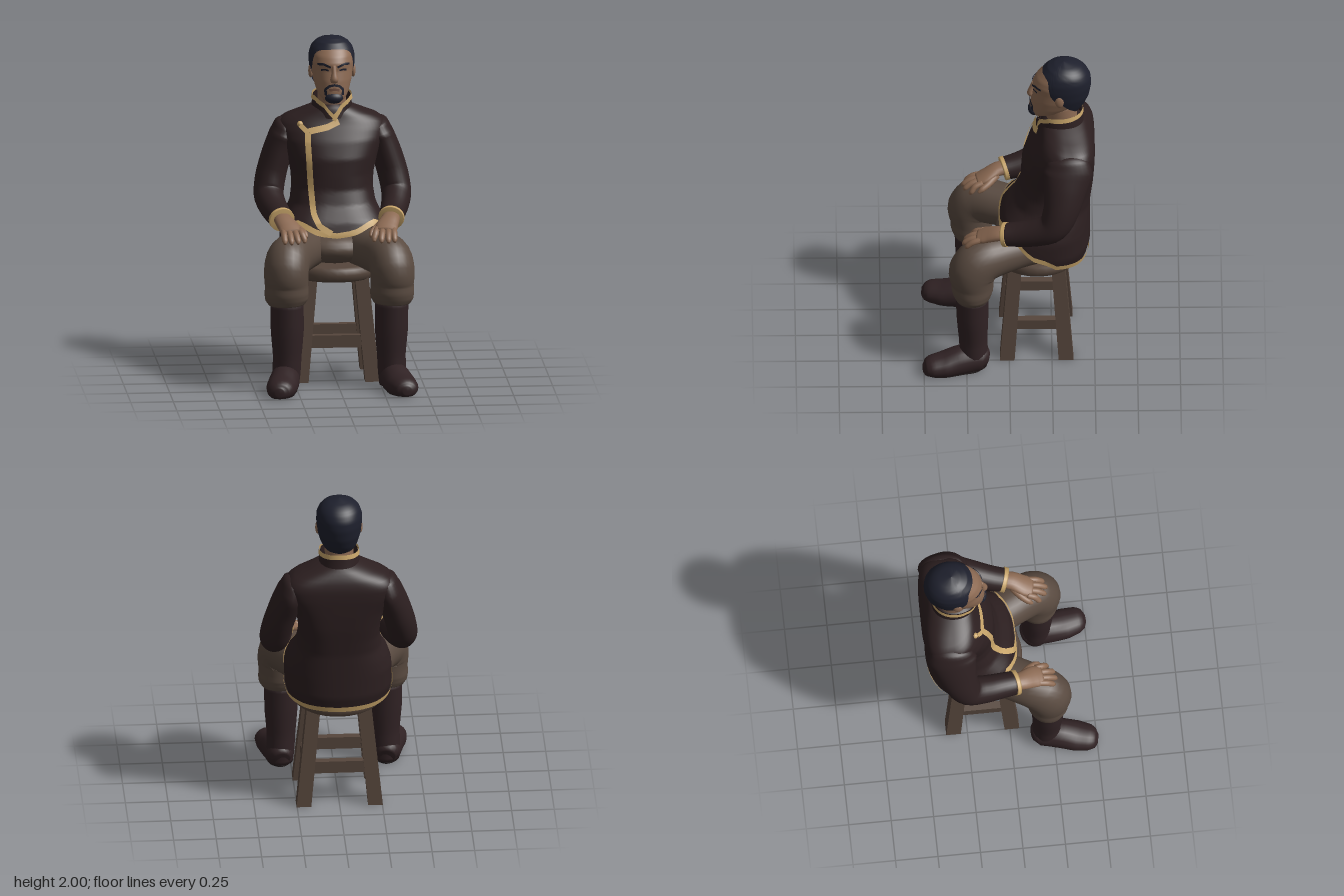
import * as THREE from 'three';

const mat = (name, color) => {
  const m = new THREE.MeshStandardMaterial({ color, side: THREE.DoubleSide });
  m.name = name;
  return m;
};

// Smooth grid surface; columns wrap round when closed
function grid(rows, cols, closed, fn) {
  const pos = [], idx = [], n = closed ? cols : cols - 1;
  for (let i = 0; i < rows; i++) for (let j = 0; j < cols; j++) pos.push(...fn(i, j));
  for (let i = 0; i < rows - 1; i++) for (let j = 0; j < n; j++) {
    const a = i * cols + j, b = i * cols + (j + 1) % cols;
    idx.push(a, b, a + cols, b, b + cols, a + cols);
  }
  const g = new THREE.BufferGeometry();
  g.setAttribute('position', new THREE.Float32BufferAttribute(pos, 3));
  g.setIndex(idx);
  g.computeVertexNormals();
  return g;
}

// Linear lookup in a table sorted by its first column
function lookup(table, t) {
  let i = 0;
  while (i < table.length - 2 && t > table[i + 1][0]) i++;
  const a = table[i], b = table[i + 1];
  const k = THREE.MathUtils.clamp((t - a[0]) / (b[0] - a[0]), 0, 1);
  return a.slice(1).map((v, c) => v + (b[c + 1] - v) * k);
}

// Upright body surface. Profile rows are [y, halfWidth, frontZ, backZ, frontSquareness, backSquareness];
// bottom and top edges are tables of [degrees from the front, y].
function shell(profile, bottom, top, { rows = 30, cols = 60, off = 0 } = {}) {
  return grid(rows, cols, true, (i, j) => {
    const a = (j / cols) * Math.PI * 2, deg = 180 - Math.abs(180 - (j / cols) * 360);
    const y0 = lookup(bottom, deg)[0], y1 = lookup(top, deg)[0];
    const y = y0 + (y1 - y0) * i / (rows - 1);
    const [rx, zf, zb, pf = 2.1, pb = 2.1] = lookup(profile, y);
    const s = Math.sin(a), c = Math.cos(a), e = 2 / (c > 0 ? pf : pb);
    const pw = v => Math.sign(v) * Math.abs(v) ** e;
    return [(rx + off) * pw(s), y, (zf + zb) / 2 + ((zf - zb) / 2 + off) * pw(c)];
  });
}
const level = y => [[0, y], [180, y]];

// Flat band lying on the front of a profile, along points [x, y]
function ribbon(profile, pts, width, off = 0.007) {
  const curve = new THREE.CatmullRomCurve3(pts.map(([x, y]) => new THREE.Vector3(x, y, 0)), false, 'catmullrom', 0.15);
  const n = pts.length * 8;
  return grid(n, 3, false, (i, j) => {
    const c = curve.getPoint(i / (n - 1)), t = curve.getTangent(i / (n - 1));
    const x = c.x + t.y * width * (j - 1) / 2, y = c.y - t.x * width * (j - 1) / 2;
    const [rx, zf, zb, p = 2.1] = lookup(profile, y);
    const k = Math.max(0, 1 - (Math.abs(x) / rx) ** p) ** (1 / p);
    return [x, y, (zf + zb) / 2 + (zf - zb) / 2 * k + off];
  });
}

// Rounded limb through rows of [x, y, z, sideRadius, otherRadius], closed at both ends
function limb(rows, side = 1, { cols = 20, minY = -1 } = {}) {
  const path = new THREE.CatmullRomCurve3(rows.map(r => new THREE.Vector3(r[0] * side, r[1], r[2])));
  const n = (rows.length - 1) * 4, X = new THREE.Vector3(1, 0, 0);
  return grid(n + 3, cols, true, (i, j) => {
    const k = THREE.MathUtils.clamp(i - 1, 0, n) / n;
    const c = path.getPoint(k), t = path.getTangent(k);
    const s = X.clone().addScaledVector(t, -X.dot(t)).normalize();
    const u = t.clone().cross(s);
    const r = lookup(rows.map((q, m) => [m / (rows.length - 1), q[3], q[4]]), k);
    const cap = i === 0 || i === n + 2 ? 0 : 1, a = (j / cols) * Math.PI * 2;
    c.addScaledVector(s, r[0] * cap * Math.cos(a)).addScaledVector(u, r[1] * cap * Math.sin(a));
    return [c.x, Math.max(c.y, minY), c.z];
  });
}

const TORSO = [[.66, .29, .05, -.455, 3.2, 2.2], [.75, .312, .055, -.475, 3.2, 2.3], [.88, .312, .052, -.475, 3.2, 2.4],
  [.95, .29, .03, -.475, 3, 2.5], [1.03, .25, -.035, -.475, 2.6, 2.6], [1.12, .237, -.066, -.485, 2.4, 2.9],
  [1.2, .242, -.07, -.494, 2.3, 3.3], [1.3, .265, -.077, -.5, 2.3, 3.7], [1.4, .305, -.113, -.503, 2.3, 4.2],
  [1.46, .318, -.146, -.5, 2.3, 4.2], [1.5, .305, -.168, -.49, 2.3, 3.8], [1.53, .265, -.18, -.478, 2.2, 3],
  [1.56, .19, -.187, -.46, 2.1, 2.5], [1.585, .135, -.195, -.44, 2, 2], [1.6, .11, -.205, -.425, 2, 2], [1.605, .08, -.22, -.4, 2, 2]];
const HEM = [[0, .87], [12, .89], [28, .925], [45, .94], [63, .88], [85, .77], [102, .705], [140, .677], [180, .67]];
const COLLAR = [[1.5, .13, -.17, -.455], [1.6, .118, -.183, -.435], [1.68, .105, -.18, -.425]];
const COLLAR_TOP = [[0, 1.55], [10, 1.575], [25, 1.615], [60, 1.65], [180, 1.67]];
const HEAD = [[1.632, .025, -.15, -.2], [1.64, .055, -.135, -.24], [1.665, .08, -.125, -.32], [1.7, .097, -.125, -.38],
  [1.76, .114, -.13, -.43], [1.82, .122, -.143, -.45], [1.86, .125, -.14, -.455], [1.9, .122, -.16, -.455],
  [1.94, .108, -.197, -.43], [1.97, .075, -.235, -.4], [1.98, .001, -.31, -.312]];
const HAIR = [[1.67, .09, -.22, -.41], [1.72, .11, -.16, -.445], [1.78, .126, -.15, -.47], [1.85, .134, -.145, -.482],
  [1.9, .133, -.163, -.478], [1.94, .12, -.196, -.458], [1.97, .095, -.226, -.428], [1.99, .058, -.268, -.385], [2, .001, -.32, -.322]];
const HAIRLINE = [[0, 1.94], [30, 1.937], [47, 1.925], [57, 1.9], [64, 1.84], [76, 1.79], [88, 1.775], [105, 1.73], [130, 1.69], [180, 1.675]];

export function createModel() {
  const model = new THREE.Group();
  model.name = 'seatedMan';
  const M = {
    jacket: mat('jacketCloth', 0x2c1f20), trim: mat('goldTrim', 0xc8a56a), skin: mat('skin', 0x8c6a53),
    hair: mat('hair', 0x1e202d), trousers: mat('trouserCloth', 0x594a40), boots: mat('bootLeather', 0x302224),
    sole: mat('bootSole', 0x211b1c), wood: mat('stoolWood', 0x56463c), shade: mat('lips', 0x6b4a3c),
  };
  const add = (name, geometry, material, parent = model) => {
    const m = new THREE.Mesh(geometry, material);
    m.name = name;
    parent.add(m);
  };
  const ball = (x, y, z, sx, sy, sz) => new THREE.SphereGeometry(1, 20, 14).scale(sx, sy, sz).translate(x, y, z);

  // Jacket with its edging
  add('jacket', shell(TORSO, HEM, level(1.605), { rows: 48 }), M.jacket);
  add('hemTrim', shell(TORSO, HEM.map(([a, y]) => [a, y - .008]), HEM.map(([a, y]) => [a, y + .024]), { rows: 3, off: .008 }), M.trim);
  add('frontTrim', ribbon(TORSO, [[.03, 1.515], [-.04, 1.485], [-.15, 1.46], [-.155, 1.4], [-.145, 1.2], [-.13, 1.0], [-.1, .935], [-.03, .89]], .034, .009), M.trim);
  add('claspLoop', ribbon(TORSO, [[-.15, 1.455], [-.175, 1.475], [-.195, 1.495]], .028, .012), M.trim);
  add('claspKnob', ball(-.195, 1.497, -.2, .018, .018, .018), M.trim);
  add('collar', shell(COLLAR, level(1.53), COLLAR_TOP, { rows: 8 }), M.jacket);
  add('collarTrim', shell(COLLAR, COLLAR_TOP.map(([a, y]) => [a, y - .022]), COLLAR_TOP.map(([a, y]) => [a, y + .006]), { rows: 3, off: .008 }), M.trim);
  add('collarOpeningTrim', ribbon(COLLAR, [[.055, 1.61], [.025, 1.565], [.0, 1.52]], .024, .01), M.trim);

  // Head
  add('neck', limb([[0, 1.52, -.315, .085, .09], [0, 1.6, -.31, .083, .09], [0, 1.72, -.3, .085, .09]]), M.skin);
  add('head', shell(HEAD, level(1.632), level(1.98), { rows: 36 }), M.skin);
  add('hair', shell(HAIR, HAIRLINE, level(2), { rows: 24 }), M.hair);
  add('nose', limb([[0, 1.855, -.15, .013, .014], [0, 1.81, -.138, .016, .02], [0, 1.775, -.13, .025, .024], [0, 1.758, -.134, .02, .016]]), M.skin);
  add('goatee', ball(0, 1.662, -.147, .053, .035, .036), M.hair);
  add('moustache', ribbon(HEAD, [[-.05, 1.68], [-.051, 1.715], [-.03, 1.735], [0, 1.742], [.03, 1.735], [.051, 1.715], [.05, 1.68]], .014), M.hair);
  add('mouth', ribbon(HEAD, [[-.03, 1.712], [0, 1.716], [.03, 1.712]], .014), M.shade);

  // Crotch of the trousers
  add('trouserSeat', ball(0, .785, -.12, .23, .1, .2), M.trousers);

  for (const s of [1, -1]) {
    const side = new THREE.Group();
    side.name = s > 0 ? 'leftSide' : 'rightSide';
    model.add(side);
    const part = (name, rows, m, o) => add(name, limb(rows, s, o), m, side);

    // Face details
    add('ear', ball(s * .125, 1.795, -.295, .014, .04, .026), M.skin, side);
    add('brow', ribbon(HEAD, [[s * .02, 1.845], [s * .06, 1.862], [s * .095, 1.858]], .013), M.hair, side);
    add('eye', ribbon(HEAD, [[s * .032, 1.826], [s * .052, 1.831], [s * .075, 1.826]], .01), M.hair, side);

    // Sleeve and cuff
    part('sleeve', [[.25, 1.49, -.34, .04, .07], [.264, 1.465, -.342, .07, .12], [.287, 1.4, -.343, .082, .145],
      [.322, 1.3, -.327, .088, .125], [.36, 1.17, -.3, .09, .105], [.375, 1.07, -.255, .088, .092],
      [.36, 1.02, -.16, .082, .083], [.337, .99, -.06, .076, .075], [.32, .975, .03, .071, .066]], M.jacket, { cols: 28 });
    part('cuffTrim', [[.325, .979, .012, .077, .071], [.319, .974, .036, .076, .07]], M.trim);

    // Hand resting on the knee
    part('palm', [[.322, .985, .01, .05, .038], [.312, .975, .07, .056, .036], [.285, .945, .14, .066, .03], [.277, .928, .185, .06, .022]], M.skin);
    [[.228, .205, .228], [.26, .245, .262], [.293, .285, .272], [.323, .322, .257]].forEach(([bx, tx, tz]) =>
      part('finger', [[bx, .937, .15, .019, .019], [(bx + tx) / 2, .922, (tz + .16) / 2, .02, .018],
        [tx, .893, tz - .012, .017, .016], [tx, .878, tz, .008, .008]], M.skin, { cols: 10 }));
    part('thumb', [[.275, .96, .07, .024, .024], [.225, .935, .115, .021, .021], [.197, .915, .155, .018, .018], [.187, .898, .178, .008, .008]], M.skin, { cols: 10 });

    // Trouser leg, bunched above the boot
    part('trouserLeg', [[.13, .78, -.3, .12, .1], [.165, .78, -.1, .132, .118], [.242, .78, .06, .13, .128], [.298, .762, .175, .131, .14],
      [.312, .7, .217, .131, .14], [.31, .62, .216, .127, .124], [.31, .575, .217, .13, .122], [.309, .54, .216, .126, .112], [.308, .512, .215, .108, .1]], M.trousers, { cols: 28 });

    // Boot
    part('bootShaft', [[.308, .54, .218, .098, .098], [.306, .35, .216, .097, .092], [.306, .2, .212, .084, .083], [.31, .1, .208, .083, .083], [.312, .02, .206, .076, .076]], M.boots);
    part('bootFoot', [[.308, .055, .135, .05, .05], [.312, .07, .17, .08, .085], [.328, .065, .28, .088, .09], [.35, .05, .38, .092, .073],
      [.367, .045, .455, .08, .062], [.373, .04, .49, .06, .046], [.375, .04, .507, .025, .025]], M.boots, { minY: .006 });
    const outline = [[.31, .15], [.262, .185], [.266, .28], [.284, .4], [.325, .465], [.37, .485], [.407, .465], [.423, .4], [.392, .27], [.365, .185]]
      .map(([x, z]) => new THREE.Vector3(x * s, z, 0));
    const shape = new THREE.Shape(new THREE.CatmullRomCurve3(outline, true).getPoints(40).map(v => new THREE.Vector2(v.x, v.y)));
    add('bootSole', new THREE.ExtrudeGeometry(shape, { depth: .01, bevelEnabled: false }).rotateX(Math.PI / 2).translate(0, .01, 0), M.sole, side);
  }

  // Stool: round top, splayed legs and rails
  const stool = new THREE.Group();
  stool.name = 'stool';
  model.add(stool);
  const rim = [[0, .602], [.238, .602], [.256, .615], [.262, .645], [.256, .675], [.238, .688], [0, .69]];
  add('stoolSeat', new THREE.LatheGeometry(rim.map(([x, y]) => new THREE.Vector2(x, y)), 32).translate(0, 0, -.166), M.wood, stool);
  for (const sx of [1, -1]) for (const sz of [1, -1]) {
    const g = new THREE.BoxGeometry(1, .62, 1).translate(0, .31, 0), q = g.attributes.position;
    for (let i = 0; i < q.count; i++) {
      const k = q.getY(i) / .62, w = .086 - .006 * k;
      q.setX(i, q.getX(i) * w + sx * (.21 - .06 * k));
      q.setZ(i, q.getZ(i) * w - .16 + sz * (.172 - .045 * k));
    }
    g.computeVertexNormals();
    add('stoolLeg', g, M.wood, stool);
  }
  for (const s of [1, -1]) {
    add('crossRail', new THREE.BoxGeometry(.36, .074, .045).translate(0, .237, -.16 + s * .155), M.wood, stool);
    add('sideRail', new THREE.BoxGeometry(.045, .064, .3).translate(s * .188, .228, -.16), M.wood, stool);
  }
  return model;
}
